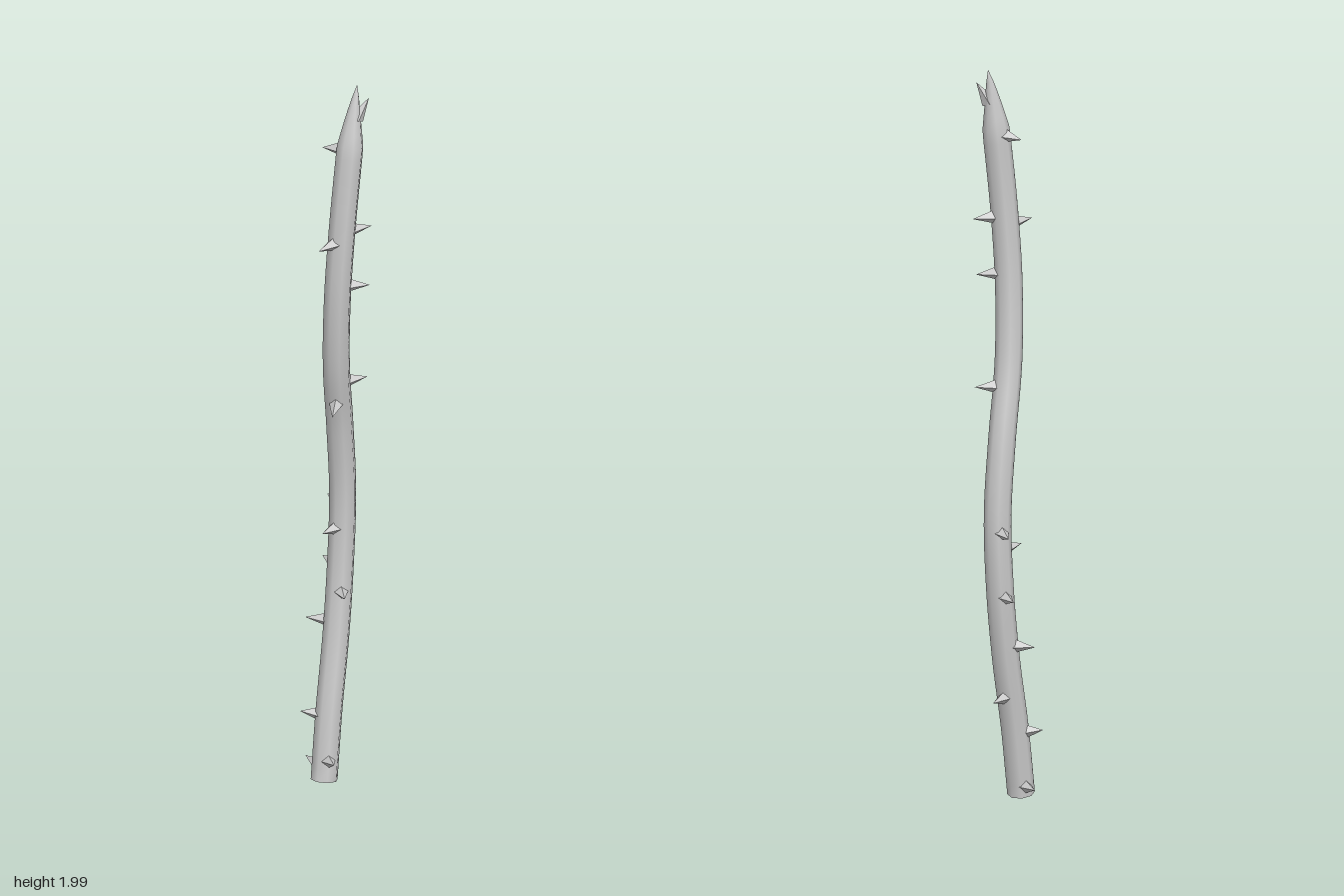
import * as THREE from 'three';
import { mergeVertices } from 'three/addons/utils/BufferGeometryUtils.js';

const SIDES = 8, RINGS = 60, RADIUS = 0.036;

export function createModel() {
  const model = new THREE.Group();
  model.name = 'thornyStem';
  const material = new THREE.MeshStandardMaterial({ color: 0xcccccc });
  const thornMaterial = new THREE.MeshStandardMaterial({ color: 0xcccccc, flatShading: true });
  const add = (geometry, mat, name) => {
    const mesh = new THREE.Mesh(geometry, mat);
    mesh.name = name;
    model.add(mesh);
    return mesh;
  };

  // winding centre line from root to tip
  const path = new THREE.CatmullRomCurve3([
    [-0.035, 0.011, 0.032], [-0.017, 0.2, 0.012], [0.008, 0.4, -0.015],
    [0.025, 0.6, -0.034], [0.031, 0.8, -0.035], [0.018, 1.0, -0.013],
    [-0.002, 1.2, 0.03], [-0.005, 1.4, 0.055], [0.006, 1.6, 0.062],
    [0.025, 1.8, 0.058], [0.036, 1.9, 0.052], [0.05, 2.0, 0.045],
  ].map((p) => new THREE.Vector3(...p)));

  // stem: a tube drawn in to a point above y = 1.83
  const tube = new THREE.TubeGeometry(path, RINGS, RADIUS, SIDES);
  const pos = tube.attributes.position;
  const v = new THREE.Vector3();
  for (let i = 0; i <= RINGS; i++) {
    const c = path.getPointAt(i / RINGS);
    const k = Math.min(1, Math.pow(Math.max(0, 2.0 - c.y) / 0.17, 0.85));
    for (let j = 0; j <= SIDES; j++) {
      const n = i * (SIDES + 1) + j;
      v.fromBufferAttribute(pos, n).sub(c).multiplyScalar(k).add(c);
      pos.setXYZ(n, v.x, v.y, v.z);
    }
  }
  tube.deleteAttribute('uv');
  tube.deleteAttribute('normal');
  const stemGeometry = mergeVertices(tube, 1e-5);
  stemGeometry.computeVertexNormals();
  add(stemGeometry, material, 'stem');

  // cut end at the root, sharing the first ring of the tube
  const ring = [];
  for (let j = 0; j < SIDES; j++) ring.push(new THREE.Vector3().fromBufferAttribute(pos, j));
  const capPoints = [];
  const start = path.getPointAt(0);
  ring.forEach((p, j) => capPoints.push(start, p, ring[(j + 1) % SIDES]));
  const cap = new THREE.BufferGeometry().setFromPoints(capPoints);
  cap.computeVertexNormals();
  const capMaterial = material.clone();
  capMaterial.side = THREE.DoubleSide;
  add(cap, capMaterial, 'cutEnd');

  // thorns: four-sided spikes; each is given by its tip and the height of its root
  const samples = path.getSpacedPoints(400);
  const thorns = [
    [-0.028, 0.085, 0.112, 0.065], [-0.065, 0.045, -0.05, 0.035],
    [-0.09, 0.195, -0.005, 0.185], [0.045, 0.295, -0.07, 0.295],
    [-0.065, 0.44, -0.053, 0.435], [0.015, 0.53, 0.052, 0.525],
    [-0.005, 0.585, -0.11, 0.58], [-0.035, 0.705, 0.012, 0.7],
    [0.008, 0.76, -0.11, 0.76], [-0.028, 1.075, 0.092, 1.09],
    [0.088, 1.14, 0.005, 1.14], [0.08, 1.43, 0.062, 1.435],
    [-0.07, 1.565, 0.112, 1.565], [0.09, 1.59, 0.042, 1.59],
    [-0.035, 1.815, 0.012, 1.82], [0.08, 1.963, 0.052, 1.885],
  ];
  thorns.forEach(([x, y, z, rootY]) => {
    const tip = new THREE.Vector3(x, y, z);
    const root = samples.reduce((a, b) =>
      Math.abs(b.y - rootY) < Math.abs(a.y - rootY) ? b : a).clone();
    root.lerp(tip, 0.024 / root.distanceTo(tip));
    const length = root.distanceTo(tip);
    const cone = new THREE.ConeGeometry(0.02, length, 4);
    cone.translate(0, length / 2, 0).rotateX(Math.PI / 2);
    const thorn = add(cone, thornMaterial, 'thorn');
    thorn.position.copy(root);
    thorn.lookAt(tip);
  });

  return model;
}
